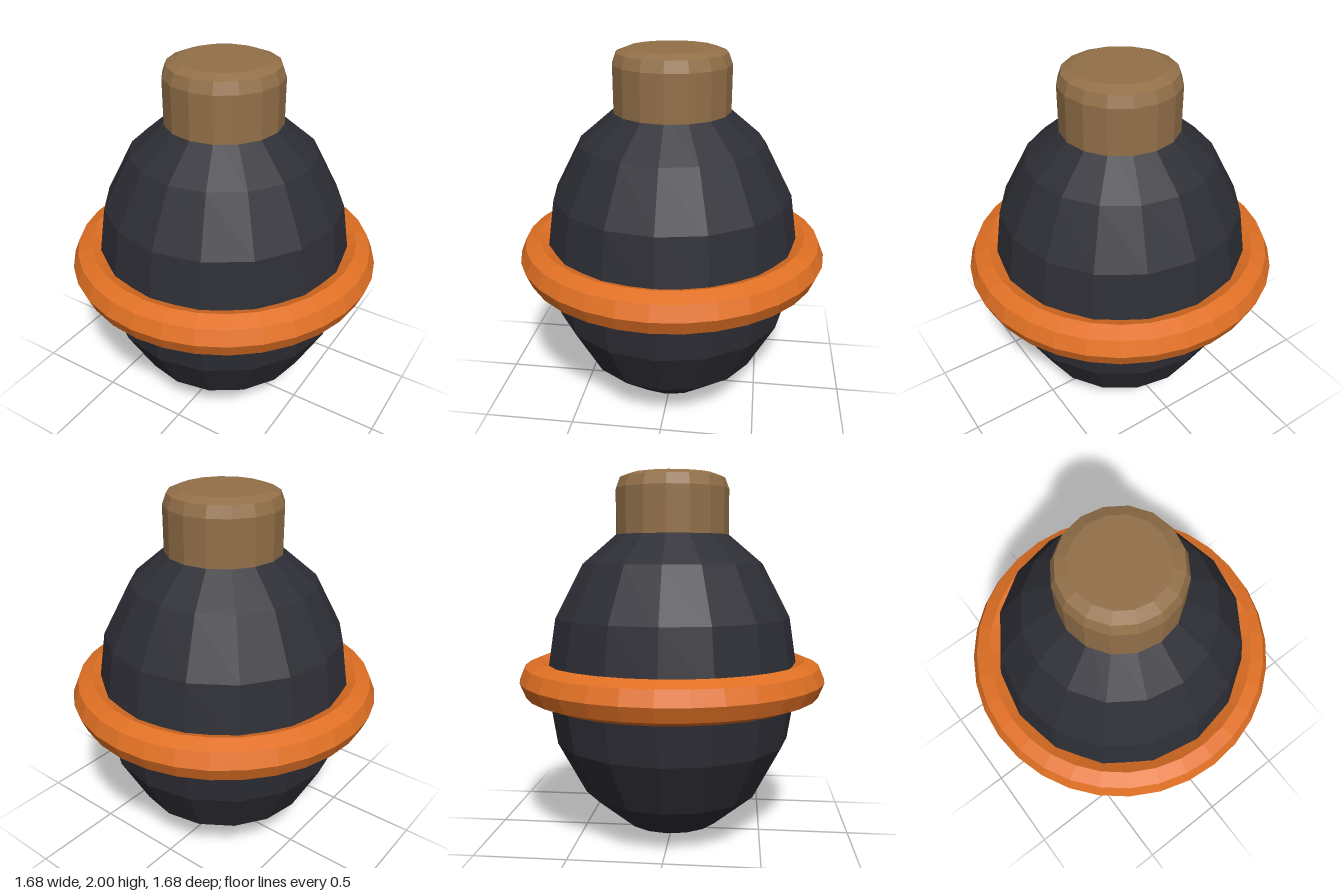
import * as THREE from 'three';

export function createModel() {
  const group = new THREE.Group();
  const charcoal = new THREE.MeshStandardMaterial({ color: 0x2e2e36, flatShading: true });
  const orange = new THREE.MeshStandardMaterial({ color: 0xe07024, flatShading: true });
  const tan = new THREE.MeshStandardMaterial({ color: 0x937049, flatShading: true });

  const add = (name, geometry, material, y = 0) => {
    const mesh = new THREE.Mesh(geometry, material);
    mesh.name = name;
    mesh.position.y = y;
    group.add(mesh);
  };
  const middle = 0.893;

  // Egg-shaped body
  add('body', new THREE.SphereGeometry(1, 16, 8).scale(0.7, 0.888, 0.7), charcoal, middle);

  // Band round the middle
  add('band', new THREE.TorusGeometry(0.732, 0.11, 8, 32).rotateX(Math.PI / 2), orange, middle);

  // Bevelled stopper, its foot sunk into the body
  const profile = [[0, 1.6], [0.31, 1.6], [0.31, 1.92], [0.288, 1.978], [0.23, 2], [0, 2]]
    .map(([r, y]) => new THREE.Vector2(r, y));
  add('stopper', new THREE.LatheGeometry(profile, 16), tan);

  return group;
}
